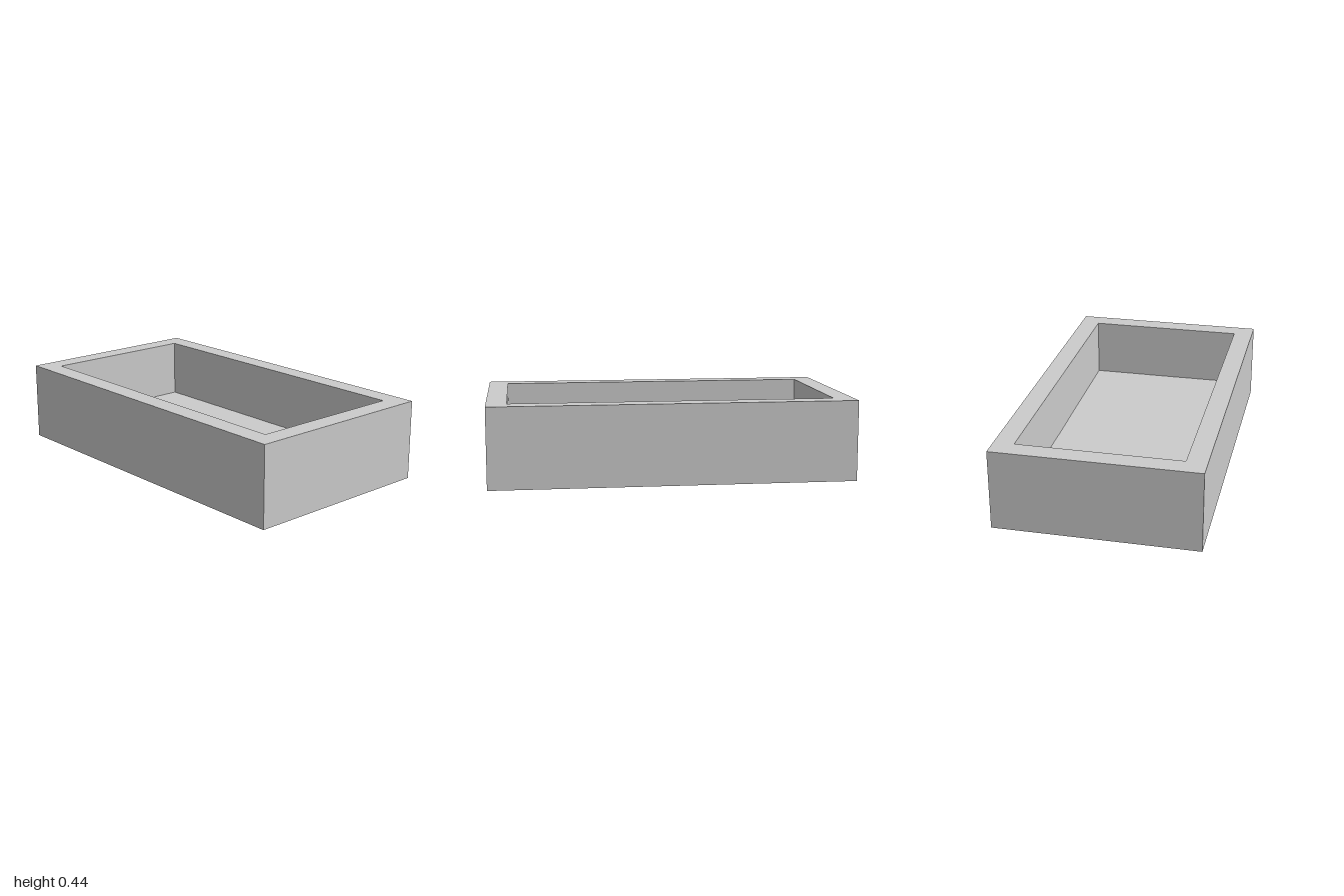
import * as THREE from 'three';

const W = 2, H = 0.444, D = 1.111; // outer size
const T = 0.111;                   // wall and floor thickness

// Rectangular ring of corners, counter-clockwise seen from above
function ring(inset, y) {
  const x = W / 2 - inset, z = D / 2 - inset;
  return [[x, y, z], [x, y, -z], [-x, y, -z], [-x, y, z]];
}

// Closed tray surface: up the outside, over the rim, down to the inner floor
function trayGeometry() {
  const rings = [ring(0, 0), ring(0, H), ring(T, H), ring(T, T)];
  const pos = [];
  const quad = (a, b, c, d) => pos.push(...a, ...b, ...c, ...a, ...c, ...d);
  for (let r = 0; r < rings.length - 1; r++) {
    for (let i = 0; i < 4; i++) {
      const j = (i + 1) % 4;
      quad(rings[r][i], rings[r][j], rings[r + 1][j], rings[r + 1][i]);
    }
  }
  quad(...rings[3]);                // inner floor
  quad(...[...rings[0]].reverse()); // underside
  const g = new THREE.BufferGeometry();
  g.setAttribute('position', new THREE.Float32BufferAttribute(pos, 3));
  g.computeVertexNormals();
  return g;
}

export function createModel() {
  const group = new THREE.Group();
  group.name = 'openTray';
  const material = new THREE.MeshStandardMaterial({ color: 0xcccccc, flatShading: true });

  const tray = new THREE.Mesh(trayGeometry(), material);
  tray.name = 'tray';
  group.add(tray);

  // Near-flush panel in the middle of each inner wall
  const proud = 0.001, width = 0.222;
  const panel = new THREE.PlaneGeometry(width, H - T);
  const sides = [['backPanel', 0], ['leftPanel', -1], ['frontPanel', 2], ['rightPanel', 1]];
  for (const [name, turns] of sides) {
    const angle = turns * Math.PI / 2;
    const reach = (turns % 2 ? W : D) / 2 - T - proud;
    const mesh = new THREE.Mesh(panel, material);
    mesh.name = name;
    mesh.rotation.y = angle;
    mesh.position.set(-Math.sin(angle) * reach, (H + T) / 2, -Math.cos(angle) * reach);
    group.add(mesh);
  }
  return group;
}
